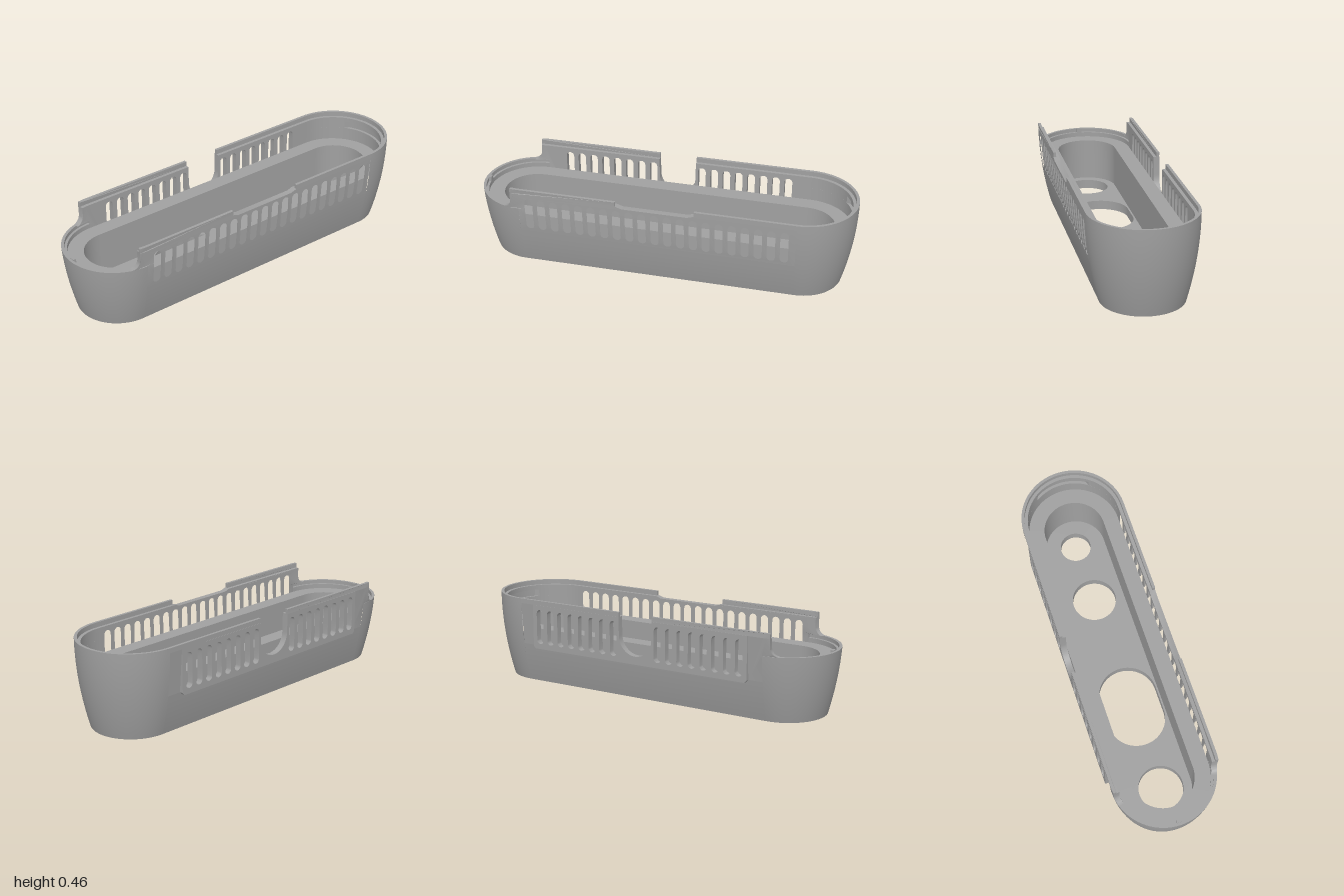
import * as THREE from 'three';
import { toCreasedNormals } from 'three/addons/utils/BufferGeometryUtils.js';

const STRAIGHT = 0.723;  // half length of the straight sides
const INNER = 0.245;     // inner face of the upper wall
const LIP_INNER = 0.262; // inner face of the thin rim lip
const STEP = 0.163;      // inner face of the lower cavity
const RIM = 0.46, LIP = 0.435, FRONT = 0.345, BAND = 0.21, LEDGE = 0.3;

// bulging outer profile: radius at height y
const outer = (y) => 0.277 - 0.064 * (1 - y / RIM) ** 2;
const vec = (pts) => pts.map(([a, b]) => new THREE.Vector2(a, b));
const arc = (cx, cy, r, a0, a1, n) => Array.from({ length: n + 1 }, (_, i) => {
  const a = a0 + (a1 - a0) * i / n;
  return [cx + r * Math.cos(a), cy + r * Math.sin(a)];
});
const outerLine = (top, n) => Array.from({ length: n + 1 }, (_, i) => [outer(top * i / n), top * i / n]);

// stadium outline (or circle when half is 0) centred on (0, c)
function stadium(r, half, c = 0, Type = THREE.Path) {
  return new Type(vec([
    ...arc(0, c + half, r, 0, Math.PI, 32),
    ...arc(0, c - half, r, Math.PI, 2 * Math.PI, 32),
  ]));
}

export function createModel() {
  const model = new THREE.Group();
  const grey = new THREE.MeshStandardMaterial({ color: 0xa0a0a0 });
  grey.name = 'grey plastic';

  const add = (name, geometry) => {
    const mesh = new THREE.Mesh(toCreasedNormals(geometry, 0.5), grey);
    mesh.name = name;
    model.add(mesh);
    return mesh;
  };

  // cross-section of the lower body, shared by sides and ends
  const foot = [[STEP, LEDGE], [STEP, 0.03], [0.19, 0.03], [0.19, 0]];

  // straight lower sides with the inner ledge
  const sideSection = new THREE.Shape(vec([
    ...foot, ...outerLine(BAND, 10), [INNER, BAND], [INNER, LEDGE],
  ]));
  for (const side of [1, -1]) {
    const g = new THREE.ExtrudeGeometry(sideSection, { depth: 2 * STRAIGHT, bevelEnabled: false });
    g.translate(0, 0, -STRAIGHT);
    if (side < 0) g.rotateY(Math.PI);
    add(side > 0 ? 'leftLowerSide' : 'rightLowerSide', g);
  }

  // low rounded front end with a rebated rim
  const front = [
    ...foot, ...outerLine(FRONT, 16), [0.258, FRONT], [0.258, 0.325], [INNER, 0.325],
    [INNER, LEDGE], [STEP, LEDGE],
  ];
  const frontGeo = new THREE.LatheGeometry(vec(front), 40, -Math.PI / 2, Math.PI);
  add('frontEnd', frontGeo.translate(0, 0, STRAIGHT));

  // tall rounded back end with a short inner groove
  const GROOVE = 0.26;
  const back = [
    ...foot, ...outerLine(RIM, 20), [LIP_INNER, RIM], [LIP_INNER, LIP], [INNER, LIP],
    [INNER, 0.41], [GROOVE, 0.41], [GROOVE, 0.372], [INNER, 0.372],
    [INNER, LEDGE], [STEP, LEDGE],
  ];
  const backGeo = new THREE.LatheGeometry(vec(back), 40, Math.PI / 2, Math.PI);
  const bp = backGeo.attributes.position;
  for (let i = 0; i < bp.count; i++) {
    const x = bp.getX(i), z = bp.getZ(i), r = Math.hypot(x, z);
    if (Math.abs(r - GROOVE) < 0.0005 && bp.getY(i) > 0.36 && Math.abs(x) > 0.14) {
      const k = (INNER + 0.0003) / r;
      bp.setX(i, x * k);
      bp.setZ(i, z * k);
    }
  }
  add('backEnd', backGeo.translate(0, 0, -STRAIGHT));

  // recessed floor with its openings
  const floor = stadium(0.19, STRAIGHT, 0, THREE.Shape);
  floor.holes.push(
    stadium(0.083, 0, 0.727), stadium(0.118, 0, 0.393),
    stadium(0.154, 0.068, -0.253), stadium(0.118, 0, -0.722),
  );
  const floorGeo = new THREE.ExtrudeGeometry(floor, { depth: 0.05, bevelEnabled: false });
  add('floor', floorGeo.rotateX(-Math.PI / 2).translate(0, 0.02, 0));

  // upper wall piece drawn in (z, y), given thickness, then bent round the front corner
  function wall(name, side, outline, { slots = [], inner = INNER, flat = false } = {}) {
    const flip = (pts) => vec(pts.map(([z, y]) => [-side * z, y]));
    const shape = new THREE.Shape(flip(outline));
    for (const z of slots) {
      shape.holes.push(new THREE.Path(flip([
        ...arc(z, 0.39, 0.021, 0, Math.PI, 8),
        [z - 0.021, 0.35], [z - 0.021, 0.3],
        ...arc(z, 0.246, 0.021, Math.PI, 2 * Math.PI, 8),
        [z + 0.021, 0.3], [z + 0.021, 0.35],
      ])));
    }
    const g = new THREE.ExtrudeGeometry(shape, { depth: 1, bevelEnabled: false });
    const p = g.attributes.position;
    for (let i = 0; i < p.count; i++) {
      const y = p.getY(i), z = -side * p.getX(i);
      const r = p.getZ(i) < 0.5 ? inner : flat ? 0.278 : outer(y);
      const a = Math.max(0, z - STRAIGHT) / 0.277;
      p.setXYZ(i, side * r * Math.cos(a), y, a > 0 ? STRAIGHT + r * Math.sin(a) : z);
    }
    return add(name, g);
  }

  const pitch = 0.0667;
  // filleted tongue where the tall wall drops to the front rim
  const tongue = [
    [STRAIGHT, BAND], [STRAIGHT, FRONT], [0.75, FRONT], [0.78, FRONT],
    ...arc(0.812, FRONT + 0.045, 0.045, 1.5 * Math.PI, Math.PI, 8),
    [0.767, LIP], [0.745, LIP], [STRAIGHT, LIP],
  ];
  const lip = (a, b) => [[a, LIP], [b, LIP], [b, RIM], [a, RIM]];
  const frontLip = (a) => [
    [a, LIP], [STRAIGHT, LIP], [0.745, LIP], [0.767, LIP],
    [0.767, RIM], [0.745, RIM], [STRAIGHT, RIM], [a, RIM],
  ];

  // left wall: full row of slots and a shallow notch in the rim
  wall('leftSlottedWall', 1, [
    [-STRAIGHT, BAND], ...tongue,
    [0.2, LIP], [0.17, 0.425], [-0.17, 0.425], [-0.2, LIP], [-STRAIGHT, LIP],
  ], { slots: Array.from({ length: 21 }, (_, i) => (i - 10) * pitch) });
  wall('leftFrontLip', 1, frontLip(0.205), { inner: LIP_INNER });
  wall('leftBackLip', 1, lip(-STRAIGHT, -0.205), { inner: LIP_INNER });

  // right wall: flat raised panel with a U cut-out and eight slots each side
  const P = 0.645;
  const slots = [];
  for (let i = 2; i <= 9; i++) slots.push(i * pitch, -i * pitch);
  wall('rightSlottedPanel', -1, [
    [-P, LIP], [-P, 0.21], [-P + 0.012, 0.197], [P - 0.012, 0.197], [P, 0.21], [P, LIP],
    [0.1, LIP], ...arc(0, 0.338, 0.098, 0, -Math.PI, 20), [-0.1, LIP],
  ], { slots, flat: true });
  wall('rightFrontWall', -1, [[P, BAND], ...tongue, [P, LIP]]);
  wall('rightBackWall', -1, [[-STRAIGHT, BAND], [-P, BAND], [-P, LIP], [-STRAIGHT, LIP]]);
  wall('rightFrontLip', -1, frontLip(0.1), { inner: LIP_INNER });
  wall('rightBackLip', -1, lip(-STRAIGHT, -0.1), { inner: LIP_INNER });

  // small locating tab on the front rim
  add('frontTab', new THREE.BoxGeometry(0.027, 0.025, 0.016)).position.set(0, 0.337, 0.974);

  return model;
}
